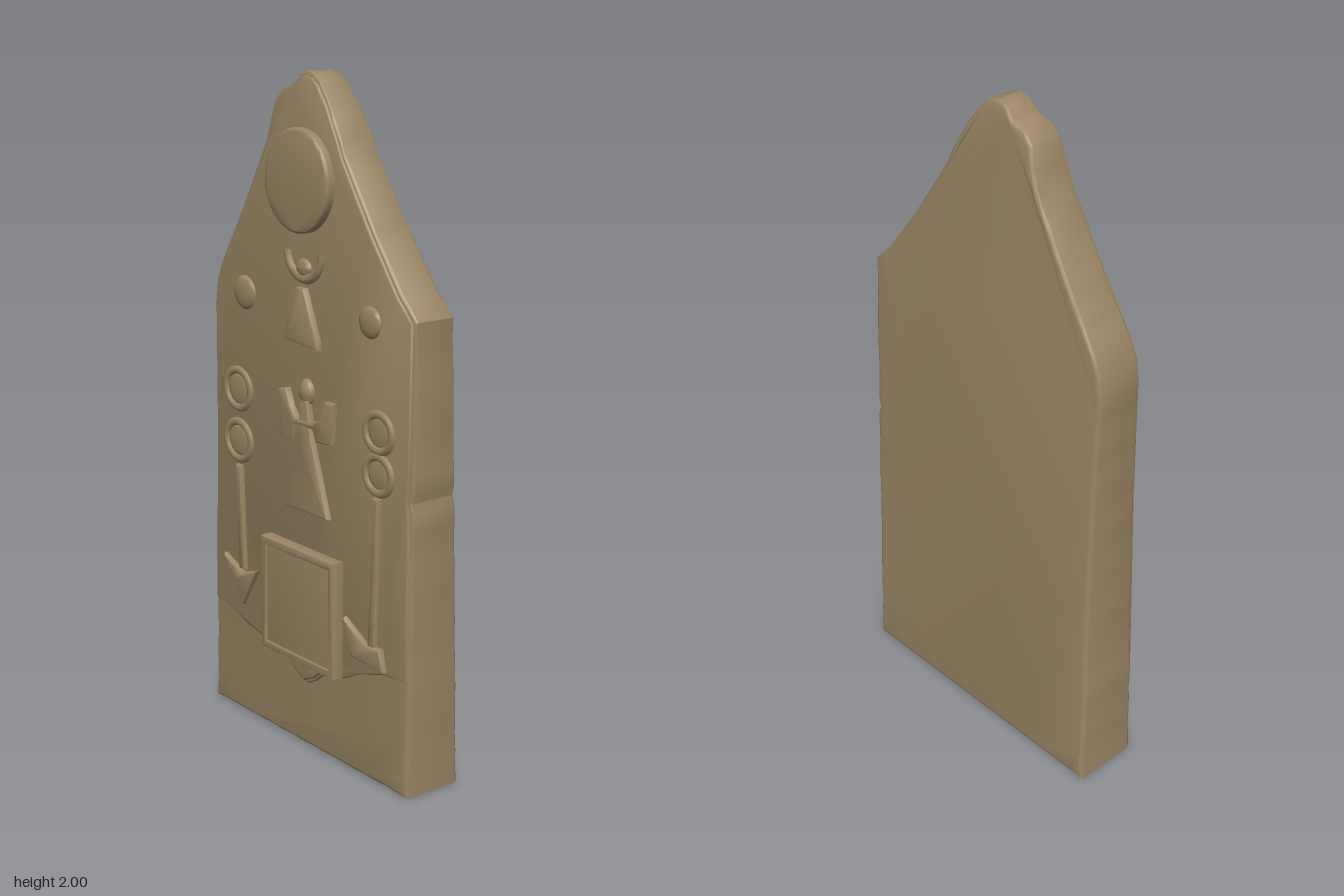
import * as THREE from 'three';
import { toCreasedNormals } from 'three/addons/utils/BufferGeometryUtils.js';

const FRONT = 0.084; // base face of the slab
const FIELD = 0.092; // carved field, slightly proud of the base

const polygon = (pts) => new THREE.Shape(pts.map(([x, y]) => new THREE.Vector2(x, y)));
const disc = (x, y, r) => new THREE.Shape().absarc(x, y, r, 0, Math.PI * 2);

// Break straight edges into short pieces with a slight weathered waver
function weather(pts, step = 0.05, amount = 0.003) {
  const out = [];
  pts.forEach(([x0, y0], i) => {
    const [x1, y1] = pts[(i + 1) % pts.length];
    const dx = x1 - x0, dy = y1 - y0, len = Math.hypot(dx, dy);
    const n = Math.max(1, Math.round(len / step));
    for (let k = 0; k < n; k++) {
      const x = x0 + dx * k / n, y = y0 + dy * k / n;
      const w = k === 0 ? 0 : -amount * (0.5 + 0.5 * Math.sin(x * 57 + y * 43));
      out.push([x + dy / len * w, y - dx / len * w]);
    }
  });
  return out;
}

export function createModel() {
  const group = new THREE.Group();
  const stone = new THREE.MeshStandardMaterial({ color: 0x9a8563 });
  stone.name = 'sandstone';

  function add(name, geometry, crease = 0.7) {
    const mesh = new THREE.Mesh(toCreasedNormals(geometry, crease), stone);
    mesh.name = name;
    group.add(mesh);
    return mesh;
  }

  // Raised carving whose top face lies at z = top
  function relief(name, shape, top, bevel = 0.01) {
    const base = FRONT - 0.015;
    const g = new THREE.ExtrudeGeometry(shape, {
      depth: top - base - bevel, bevelEnabled: true, bevelThickness: bevel,
      bevelSize: bevel, bevelOffset: -bevel, bevelSegments: 3, curveSegments: 20,
    });
    return add(name, g.translate(0, 0, base), 1.0);
  }

  // Flattened raised ring or arc
  function ring(name, x, y, r, tube, sx = 1, start = 0, arc = Math.PI * 2) {
    const g = new THREE.TorusGeometry(r, tube, 8, 32, arc);
    g.rotateZ(start).scale(sx, 1, 0.85).translate(x, y, FIELD - 0.003);
    return add(name, g, 1.5);
  }

  // Soft boss
  function boss(name, x, y, rx, ry, h) {
    const g = new THREE.SphereGeometry(1, 20, 12);
    g.scale(rx, ry, h).translate(x, y, FIELD - 0.002);
    return add(name, g, 1.5);
  }

  // Gabled slab, with chipped corners and a broken peak
  const top = [
    [0.48, 1.37], [0.442, 1.41], [0.42, 1.43], [0.3, 1.59], [0.172, 1.78], [0.155, 1.82],
    [0.1, 1.92], [0.06, 1.975], [0.035, 1.993], [0.005, 2], [-0.03, 1.99], [-0.06, 1.96],
    [-0.11, 1.945], [-0.14, 1.92], [-0.18, 1.81], [-0.3, 1.61], [-0.42, 1.425],
    [-0.445, 1.37], [-0.455, 1.3],
  ];
  const outline = weather([
    [-0.485, 0], [0.46, 0], [0.466, 0.3], [0.47, 0.6], [0.474, 0.84], [0.465, 0.87],
    [0.474, 0.9], [0.478, 1.15], ...top,
    [-0.456, 0.92], [-0.465, 0.6], [-0.472, 0.37], [-0.477, 0.33],
  ]);
  const slab = new THREE.ExtrudeGeometry(polygon(outline), {
    depth: 0.96, bevelEnabled: true, bevelThickness: 0.08, bevelSize: 0.012,
    bevelOffset: -0.012, bevelSegments: 3,
  });
  // The back leans forward with height and tapers slightly to one side
  const p = slab.attributes.position;
  for (let i = 0; i < p.count; i++) {
    const x = p.getX(i), y = p.getY(i), t = (p.getZ(i) + 0.08) / 1.12;
    const back = -0.12 + 0.043 * y + 0.022 * x + 0.17 * Math.max(0, y - 1.85);
    p.setZ(i, back + t * (FRONT - back));
  }
  add('slab', slab, 0.6);

  // Carved field over the plain foot, with a sagging lower edge
  const field = [
    [-0.465, 0.345], [-0.4, 0.335], [-0.3, 0.3], [-0.16, 0.275], [-0.07, 0.25], [-0.03, 0.215],
    [0.01, 0.205], [0.05, 0.225], [0.1, 0.265], [0.18, 0.275], [0.25, 0.31], [0.36, 0.345],
    [0.458, 0.355], [0.464, 0.84], [0.455, 0.87], [0.464, 0.9],
    ...top.map(([x, y]) => [x * 0.975, 1 + (y - 1) * 0.988]), [-0.447, 0.92],
  ];
  relief('carvedField', polygon(field), FIELD, 0.006);

  // Sun disc and crescent below it
  relief('sunDisc', disc(-0.005, 1.7, 0.147), 0.12);
  ring('crescent', 0.005, 1.505, 0.08, 0.017, 1, Math.PI * 1.02, Math.PI * 0.96);
  boss('upperFigureHead', 0.003, 1.455, 0.035, 0.028, 0.015);
  relief('upperFigureBody', polygon([
    [-0.072, 1.245], [0.082, 1.232], [0.078, 1.262], [0.02, 1.4], [-0.015, 1.4],
  ]), 0.112, 0.008);

  // Figure with raised arms
  boss('figureHead', 0.018, 1.1, 0.033, 0.04, 0.024);
  relief('figureBody', polygon([
    [-0.075, 0.745], [0.128, 0.745], [0.12, 0.77], [0.055, 0.96], [0.035, 1.08],
    [0.002, 1.08], [-0.012, 0.96], [-0.06, 0.77],
  ]), 0.11, 0.007);
  relief('figureArms', polygon([
    [-0.1, 0.955], [-0.04, 0.95], [-0.03, 1.0], [0.06, 1.0], [0.075, 0.965], [0.145, 0.97],
    [0.155, 1.09], [0.115, 1.09], [0.095, 1.04], [0.06, 1.02], [-0.02, 1.02],
    [-0.045, 1.05], [-0.065, 1.1], [-0.105, 1.09], [-0.085, 1.03],
  ]), 0.112, 0.007);

  // Square panel with a shallow rim
  const square = (x0, y0, x1, y1) => [[x0, y0], [x1, y0], [x1, y1], [x0, y1]];
  const rim = polygon(square(-0.167, 0.28, 0.181, 0.632));
  rim.holes.push(new THREE.Path(polygon(square(-0.142, 0.305, 0.158, 0.607)).getPoints()));
  relief('panelRim', rim, 0.131, 0.006);
  relief('panel', polygon(square(-0.16, 0.287, 0.174, 0.625)), 0.126, 0.006);
  relief('panelPendant', polygon([
    [-0.09, 0.285], [-0.04, 0.235], [0.005, 0.215], [0.05, 0.235], [0.11, 0.285],
  ]), 0.103, 0.008);

  // Side staffs: two stacked rings, a shaft and a pointed foot
  const staffs = [
    { side: 'right', x: -0.328, ys: [1.045, 0.885], r: 0.058, shaft: [[-0.32, 0.81], [-0.306, 0.48]],
      foot: [[-0.305, 0.365], [-0.225, 0.495], [-0.305, 0.47], [-0.4, 0.51], [-0.345, 0.435]] },
    { side: 'left', x: 0.338, ys: [1.045, 0.925], r: 0.052, shaft: [[0.34, 0.86], [0.322, 0.42]],
      foot: [[0.235, 0.365], [0.38, 0.36], [0.365, 0.425], [0.3, 0.42], [0.2, 0.475]] },
  ];
  for (const { side, x, ys, r, shaft, foot } of staffs) {
    ys.forEach((y, i) => {
      ring(side + (i ? 'LowerRing' : 'UpperRing'), x, y, r, 0.014, 1.08);
      boss(side + (i ? 'LowerRingCore' : 'UpperRingCore'), x, y, r * 0.95, r * 0.9, 0.007);
    });
    const [[xa, ya], [xb, yb]] = shaft;
    relief(side + 'Shaft', polygon([
      [xb - 0.015, yb], [xb + 0.015, yb], [xa + 0.015, ya], [xa - 0.015, ya],
    ]), 0.106, 0.008);
    relief(side + 'StaffFoot', polygon(foot), 0.109, 0.009);
  }

  // Small round bosses under the gable
  boss('rightRosette', -0.288, 1.345, 0.055, 0.052, 0.014);
  boss('leftRosette', 0.298, 1.345, 0.048, 0.046, 0.014);

  return group;
}
